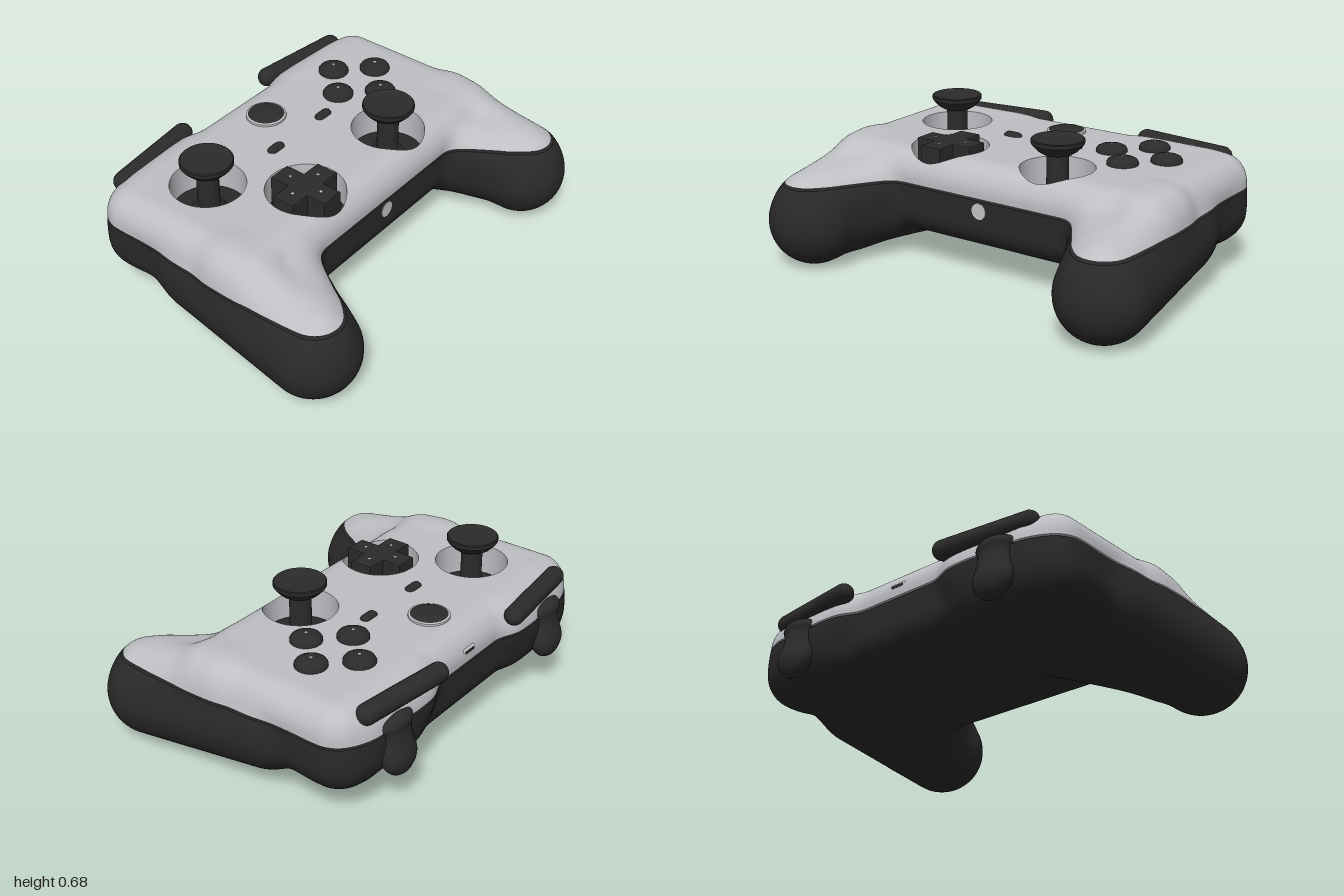
import * as THREE from 'three';
import { toCreasedNormals } from 'three/addons/utils/BufferGeometryUtils.js';
import { RoundedBoxGeometry } from 'three/addons/geometries/RoundedBoxGeometry.js';

const flat = (name, color) => Object.assign(new THREE.MeshStandardMaterial({ color }), { name });
const smoothMin = (a, b, k) => Math.min(a, b) - Math.max(k - Math.abs(a - b), 0) ** 2 / (4 * k);

// Distance to a capsule between two points
function capsule(x, y, z, a, b, r) {
  const d = [b[0] - a[0], b[1] - a[1], b[2] - a[2]];
  const p = [x - a[0], y - a[1], z - a[2]];
  const dot = p[0] * d[0] + p[1] * d[1] + p[2] * d[2];
  const t = Math.min(1, Math.max(0, dot / (d[0] ** 2 + d[1] ** 2 + d[2] ** 2)));
  return Math.hypot(p[0] - t * d[0], p[1] - t * d[1], p[2] - t * d[2]) - r;
}

// Distance to a rounded box
function roundBox(x, y, z, c, half, r) {
  const q = [x, y, z].map((v, i) => Math.abs(v - c[i]) - half[i] + r);
  const outside = Math.hypot(Math.max(q[0], 0), Math.max(q[1], 0), Math.max(q[2], 0));
  return outside + Math.min(Math.max(q[0], q[1], q[2]), 0) - r;
}

// Whole body: centre block, handles, inner webs and shoulder lobes melted together
const limbs = [
  [[0.73, 0.27, -0.12], [0.79, 0.213, 0.52], 0.21],
  [[0.785, 0.42, 0.08], [0.793, 0.31, 0.54], 0.13],
  [[0.45, 0.29, -0.1], [0.72, 0.24, 0.3], 0.2],
  [[0.53, 0.38, 0.13], [0.71, 0.32, 0.46], 0.12],
  [[0.45, 0.32, -0.48], [0.69, 0.31, -0.47], 0.195],
  [[0.36, 0.4, -0.545], [0.68, 0.4, -0.525], 0.125],
];
function body(x, y, z) {
  const ax = Math.abs(x);
  let d = roundBox(ax, y, z, [0, 0.3475, -0.165], [0.9, 0.2025, 0.465], 0.13);
  for (const [a, b, r] of limbs) d = smoothMin(d, capsule(ax, y, z, a, b, r), 0.06);
  return -smoothMin(-d, 0.566 - y, 0.04);
}

// Wells in the upper shell: x, z, radius
const sticks = [[-0.55, -0.27], [0.28, 0.09]];
const pad = [-0.315, 0.09];
const wells = [...sticks.map(([x, z]) => [x, z, 0.17]), [...pad, 0.18]];
const wellCut = (x, y, z) => Math.max(...wells.map(([cx, cz, r]) => r - Math.hypot(x - cx, z - cz)));

function gradient(f, [x, y, z], e = 1e-4) {
  return [f(x + e, y, z) - f(x - e, y, z), f(x, y + e, z) - f(x, y - e, z), f(x, y, z + e) - f(x, y, z - e)]
    .map(v => v / (2 * e));
}

// Skins the region where every limit is negative, keeping the edges between limits sharp
function skin(limits, lo, hi, h) {
  const solid = p => Math.max(...limits.map(f => f(...p)));
  const n = lo.map((v, i) => Math.ceil((hi[i] - v) / h) + 1);
  const step = [1, n[0], n[0] * n[1]], total = n[0] * n[1] * n[2];
  const at = id => [lo[0] + h * (id % n[0]), lo[1] + h * (Math.floor(id / n[0]) % n[1]), lo[2] + h * Math.floor(id / step[2])];
  const inside = new Uint8Array(total);
  for (let id = 0; id < total; id++) inside[id] = solid(at(id)) < 0 ? 1 : 0;
  // Every crossed grid edge gives a quad joining its four cells
  const cells = new Map(), quads = [];
  for (let id = 0; id < total; id++) for (let a = 0; a < 3; a++) {
    const next = id + step[a];
    if (next >= total || inside[id] === inside[next]) continue;
    const b = step[(a + 1) % 3], c = step[(a + 2) % 3];
    const quad = [id - b - c, id - c, id, id - b];
    const p = at(id);
    for (let s = h / 2; s > h / 200; s /= 2) {
      p[a] += s;
      if ((solid(p) < 0) !== (inside[id] === 1)) p[a] -= s;
    }
    for (const cell of quad) {
      const sum = cells.get(cell) || [0, 0, 0, 0];
      p.forEach((v, i) => { sum[i] += v; });
      sum[3]++;
      cells.set(cell, sum);
    }
    quads.push(inside[id] ? quad : quad.reverse());
  }
  // Pull each vertex onto all limits it is close to
  for (const [cell, s] of cells) {
    const p = [s[0] / s[3], s[1] / s[3], s[2] / s[3]];
    const near = limits.map(f => f(...p)), top = Math.max(...near);
    const active = limits.filter((f, i) => near[i] === top || near[i] > -0.7 * h);
    for (let k = 0; k < 6; k++) for (const f of active) {
      const g = gradient(f, p), v = f(...p) / Math.max(0.2, g[0] ** 2 + g[1] ** 2 + g[2] ** 2);
      g.forEach((w, i) => { p[i] -= v * w; });
    }
    cells.set(cell, p);
  }
  const position = [], normal = [];
  for (const q of quads) for (const tri of [[q[0], q[1], q[2]], [q[0], q[2], q[3]]]) {
    const pts = tri.map(cell => cells.get(cell));
    const mid = [0, 1, 2].map(i => (pts[0][i] + pts[1][i] + pts[2][i]) / 3);
    const owner = limits.reduce((m, f) => (f(...mid) > m(...mid) ? f : m));
    for (const p of pts) {
      position.push(...p);
      normal.push(...new THREE.Vector3(...gradient(owner, p)).normalize().toArray());
    }
  }
  const geo = new THREE.BufferGeometry();
  geo.setAttribute('position', new THREE.Float32BufferAttribute(position, 3));
  geo.setAttribute('normal', new THREE.Float32BufferAttribute(normal, 3));
  return geo;
}

const lathe = points => toCreasedNormals(
  new THREE.LatheGeometry(points.map(([r, y]) => new THREE.Vector2(r, y)), 40), 0.6);

export function createModel() {
  const model = new THREE.Group();
  const light = flat('light grey shell', 0xbebfc3);
  const dark = flat('charcoal shell', 0x29292a);
  const control = flat('black controls', 0x2b2b2c);
  const mark = flat('pale marks', 0xc4c5c8);
  const add = (name, geo, mat, x = 0, y = 0, z = 0) => {
    const mesh = new THREE.Mesh(geo, mat);
    mesh.name = name;
    mesh.position.set(x, y, z);
    model.add(mesh);
    return mesh;
  };

  // Two shells with an open seam between them
  add('lowerShell', skin([body, (x, y) => y - 0.39], [-1.053, -0.04, -0.757], [1.05, 0.43, 0.79], 0.02), dark);
  add('upperShell', skin([body, (x, y) => 0.4 - y, wellCut], [-1.003, 0.3805, -0.757], [1.0, 0.6, 0.74], 0.013), light);

  // Thumb sticks with softly dished caps
  const stickGeo = lathe([[0, 0.402], [0.085, 0.402], [0.07, 0.425], [0.05, 0.44], [0.05, 0.61], [0.07, 0.613],
    [0.09, 0.626], [0.113, 0.65], [0.12, 0.66], [0.12, 0.676], [0.116, 0.68], [0.1, 0.677], [0.05, 0.673], [0, 0.672]]);
  for (const [x, z] of sticks) add('thumbStick', stickGeo, control, x, 0, z);

  // Cross-shaped direction pad
  const w = 0.049, l = 0.145;
  const cross = new THREE.Shape([[w, w], [w, l], [-w, l], [-w, w], [-l, w], [-l, -w], [-w, -w], [-w, -l], [w, -l],
    [w, -w], [l, -w], [l, w]].map(p => new THREE.Vector2(...p)));
  const crossGeo = new THREE.ExtrudeGeometry(cross, { depth: 0.155, bevelThickness: 0.006, bevelSize: 0.006, bevelSegments: 2 });
  add('directionPad', crossGeo.rotateX(-Math.PI / 2), control, pad[0], 0.412, pad[1]);

  // Domed face buttons around a centre, each with a pale dot, and dots on the pad
  const buttonGeo = lathe([[0.072, 0.5], [0.072, 0.558], [0.066, 0.568], [0.052, 0.575], [0.03, 0.581], [0, 0.583]]);
  const dotGeo = new THREE.CylinderGeometry(0.007, 0.007, 0.004, 12);
  for (let i = 0; i < 4; i++) {
    const c = Math.round(Math.cos(i * Math.PI / 2)), s = Math.round(Math.sin(i * Math.PI / 2));
    const x = 0.49 + 0.143 * c, z = -0.257 + 0.143 * s;
    add('faceButton', buttonGeo, control, x, 0, z);
    add('buttonDot', dotGeo, mark, x, 0.583, z);
    add('padDot', dotGeo, mark, pad[0] + 0.086 * c, 0.573, pad[1] + 0.086 * s);
  }

  // Centre button in a slim rim, and two small pill buttons
  add('centreButton', lathe([[0.086, 0.5], [0.086, 0.558], [0.07, 0.565], [0.03, 0.57], [0, 0.571]]), control, 0, 0, -0.41);
  add('centreRim', lathe([[0.096, 0.5], [0.094, 0.556], [0.085, 0.559]]), light, 0, 0, -0.41);
  const pillGeo = new THREE.CapsuleGeometry(0.025, 0.046, 6, 16).rotateZ(Math.PI / 2);
  for (const s of [-1, 1]) add('pillButton', pillGeo, control, s * 0.168, 0.541, -0.205);

  // Shoulder bumpers and peanut-shaped triggers
  const triggerCurve = new THREE.SplineCurve([[0, -0.15], [0.05, -0.142], [0.09, -0.1], [0.1, -0.055], [0.086, 0.01],
    [0.087, 0.06], [0.1, 0.09], [0.08, 0.12], [0, 0.135]].map(p => new THREE.Vector2(...p)));
  const triggerGeo = new THREE.LatheGeometry(triggerCurve.getPoints(32).map(p => p.setX(Math.max(0, p.x))), 28);
  for (const s of [-1, 1]) {
    const from = new THREE.Vector3(s * 0.3, 0.5, -0.665), to = new THREE.Vector3(s * 0.73, 0.5, -0.615);
    const bumper = add('bumper', new THREE.CapsuleGeometry(0.046, from.distanceTo(to), 8, 20), control);
    bumper.position.copy(from).lerp(to, 0.5);
    bumper.quaternion.setFromUnitVectors(new THREE.Vector3(0, 1, 0), to.sub(from).normalize());
    const trigger = add('trigger', triggerGeo, control, s * 0.587, 0.32, -0.667);
    trigger.scale.z = 0.6;
    trigger.rotation.x = 0.15;
  }

  // Front socket disc and rear charging port
  add('frontSocket', new THREE.CylinderGeometry(0.038, 0.038, 0.03, 28).rotateX(Math.PI / 2), mark, 0, 0.342, 0.287);
  add('portRim', new RoundedBoxGeometry(0.09, 0.036, 0.03, 3, 0.012), mark, 0, 0.45, -0.614);
  add('portSlot', new RoundedBoxGeometry(0.07, 0.016, 0.008, 2, 0.003), dark, 0, 0.45, -0.626);
  return model;
}
